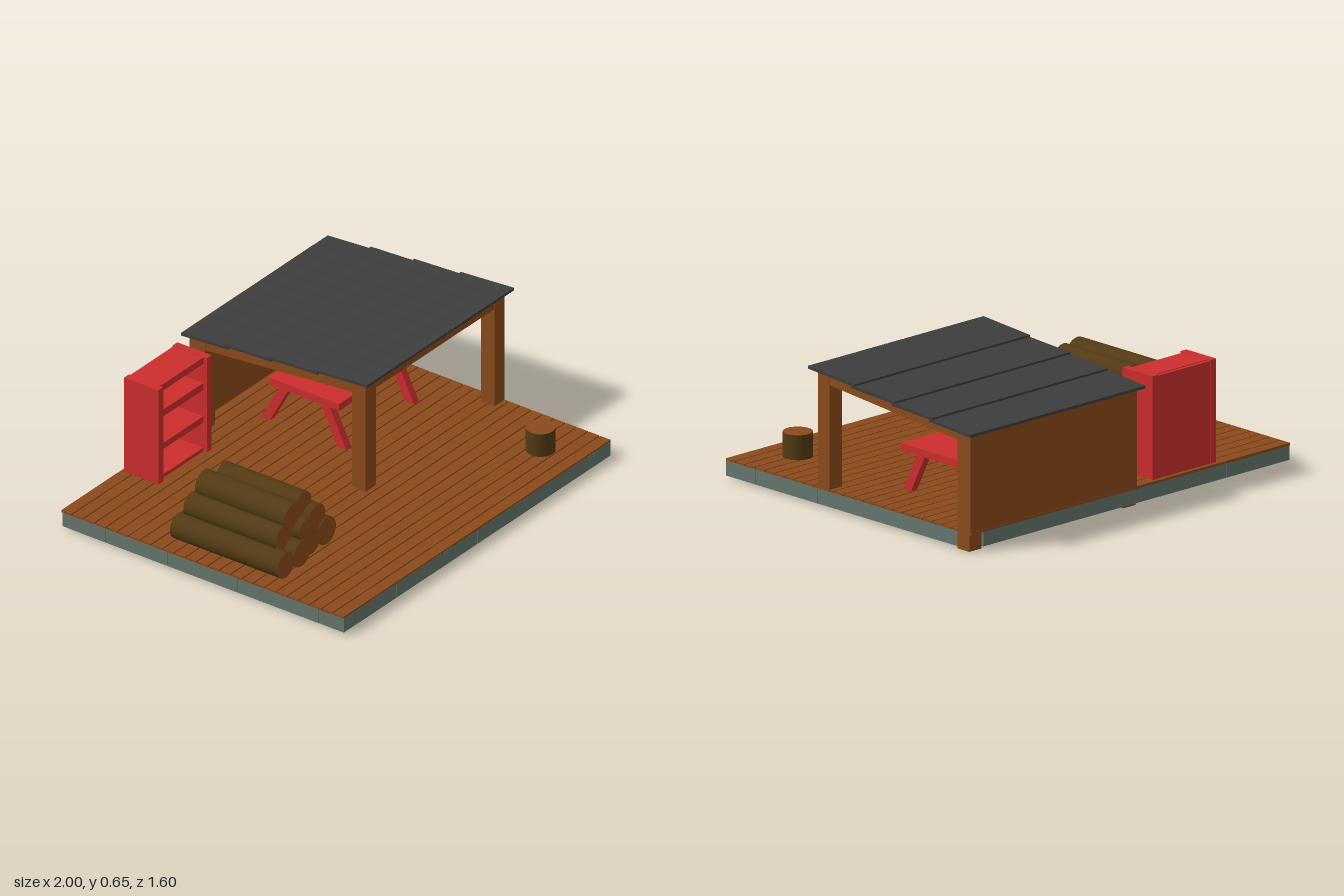
import * as THREE from 'three';

const mat = (color) => new THREE.MeshStandardMaterial({ color, flatShading: true });

export function createModel() {
  const model = new THREE.Group();
  const wood = mat(0x8b4a1c), stone = mat(0x64766c), red = mat(0xcc2e2e);
  const slate = mat(0x3d3d3d);
  const bark = new THREE.MeshStandardMaterial({ color: 0x523a14 });

  const group = (name) => {
    const g = new THREE.Group();
    g.name = name;
    model.add(g);
    return g;
  };
  // Box given by its minimum and maximum on each axis
  const box = (parent, name, material, x0, x1, y0, y1, z0, z1) => {
    const m = new THREE.Mesh(new THREE.BoxGeometry(x1 - x0, y1 - y0, z1 - z0), material);
    m.position.set((x0 + x1) / 2, (y0 + y1) / 2, (z0 + z1) / 2);
    m.name = name;
    parent.add(m);
    return m;
  };
  // Side outline of [z, y] points extruded along x from x0 to x1
  const sidePrism = (parent, name, material, points, x0, x1) => {
    const shape = new THREE.Shape(points.map(([z, y]) => new THREE.Vector2(-z, y)));
    const geo = new THREE.ExtrudeGeometry(shape, { depth: x1 - x0, bevelEnabled: false });
    geo.rotateY(Math.PI / 2);
    const m = new THREE.Mesh(geo, material);
    m.position.x = x0;
    m.name = name;
    parent.add(m);
    return m;
  };
  // Run of boxes between successive cut positions, with hairline joints
  const run = (cuts, fn) => {
    for (let i = 0; i < cuts.length - 1; i++) fn(cuts[i] + 0.001, cuts[i + 1] - 0.001);
  };

  // Stone footing ring, notched around the back right post
  const footing = group('footing');
  run([-1, -0.61, -0.02, 0.18, 0.37, 0.96], (a, b) =>
    box(footing, 'frontFooting', stone, a, b, 0.01, 0.08, 0.66, 0.798));
  run([-1, -0.61, -0.06, 0.02, 0.37, 0.88], (a, b) =>
    box(footing, 'backFooting', stone, a, b, 0.01, 0.08, -0.762, -0.66));
  run([-0.68, -0.18, 0.21, 0.41, 0.61, 0.66], (a, b) =>
    box(footing, 'leftFooting', stone, 0.88, 0.96, 0.01, 0.08, a, b));
  run([-0.66, -0.52, -0.18, 0.21, 0.52, 0.66], (a, b) =>
    box(footing, 'rightFooting', stone, -1, a > -0.53 && b < 0.53 ? -0.8 : -0.92, 0.01, 0.08, a, b));

  // Deck planks
  const deck = group('deck');
  const rows = 25, pitch = 1.57 / rows;
  for (let i = 0; i < rows; i++) {
    const z = -0.77 + i * pitch;
    run(i % 2 ? [-1, -0.22, 0.57, 0.96] : [-1, -0.6, -0.22, 0.96], (a, b) =>
      box(deck, 'deckPlank', wood, a, b, 0.078, 0.09, z + 0.003, z + pitch - 0.003));
  }

  // Shelter frame: posts, sloped side beams, cross beams, back wall
  const shelter = group('shelter');
  for (const [x0, x1] of [[-0.06, 0.015], [0.885, 0.96]]) {
    sidePrism(shelter, 'frontPost', wood, [[0.21, 0.08], [0.135, 0.08], [0.135, 0.625], [0.21, 0.632]], x0, x1);
    sidePrism(shelter, 'backPost', wood, [[-0.68, 0], [-0.755, 0], [-0.755, 0.545], [-0.68, 0.552]], x0, x1);
    sidePrism(shelter, 'sideBeam', wood,
      [[0.135, 0.573], [-0.68, 0.502], [-0.68, 0.552], [0.135, 0.625]], x0 + 0.002, x1 - 0.002);
  }
  box(shelter, 'frontBeam', wood, 0.015, 0.885, 0.585, 0.626, 0.137, 0.208);
  box(shelter, 'backBeam', wood, 0.015, 0.885, 0.505, 0.545, -0.753, -0.682);
  box(shelter, 'backWall', wood, -0.06, 0.962, 0.088, 0.543, -0.766, -0.752);

  // Roof boards: four rows, each overlapping the one behind it
  const roof = group('roof');
  const edges = [0.233, -0.062, -0.32, -0.56, -0.8];
  const boards = 11, boardWidth = 1.08 / boards;
  const roofY = (z) => 0.638 + (z - 0.233) * 0.09;
  for (let r = 0; r < 4; r++) {
    const front = edges[r] + (r ? 0.02 : 0), back = edges[r + 1];
    const yf = roofY(front) - (r ? 0.005 : 0), yb = roofY(back) + (r < 3 ? 0.005 : 0);
    const profile = [[front, yf], [back, yb], [back, yb + 0.013], [front, yf + 0.013]];
    for (let i = 0; i < boards; i++) {
      const x = -0.08 + i * boardWidth;
      sidePrism(roof, 'roofBoard', slate, profile, x + 0.001, x + boardWidth - 0.001);
    }
  }

  // Open shelf unit
  const cabinet = group('cabinet');
  for (const x of [-0.56, -0.205]) box(cabinet, 'cabinetSide', red, x, x + 0.035, 0.09, 0.57, -0.75, -0.56);
  box(cabinet, 'cabinetBack', red, -0.525, -0.205, 0.09, 0.565, -0.748, -0.73);
  for (const [y0, y1] of [[0.09, 0.107], [0.235, 0.267], [0.402, 0.437], [0.535, 0.568]])
    box(cabinet, 'cabinetShelf', red, -0.525, -0.205, y0, y1, -0.73, -0.58);

  // Table with splayed legs
  const table = group('table');
  box(table, 'tableTop', red, 0.17, 0.76, 0.285, 0.32, -0.5, -0.11);
  for (const x of [0.185, 0.682]) {
    sidePrism(table, 'frontLeg', red, [[-0.08, 0.085], [-0.13, 0.085], [-0.23, 0.287], [-0.18, 0.287]], x, x + 0.037);
    sidePrism(table, 'backLeg', red, [[-0.51, 0.085], [-0.56, 0.085], [-0.45, 0.287], [-0.4, 0.287]], x, x + 0.037);
  }

  // Log: bark side with sawn wood caps
  const log = (parent, name, r, length) => {
    const m = new THREE.Mesh(new THREE.CylinderGeometry(r, r, length, 24), [bark, wood, wood]);
    m.name = name;
    parent.add(m);
    return m;
  };

  // Stacked logs: x, y, radius, back z, front z
  const pile = group('logPile');
  for (const [x, y, r, z0, z1] of [
    [-0.878, 0.153, 0.062, -0.21, 0.385], [-0.755, 0.153, 0.062, -0.16, 0.38],
    [-0.64, 0.153, 0.062, -0.18, 0.35], [-0.53, 0.157, 0.067, -0.14, 0.35],
    [-0.815, 0.242, 0.06, -0.185, 0.325], [-0.69, 0.242, 0.06, -0.17, 0.365],
    [-0.59, 0.252, 0.062, -0.18, 0.34],
    [-0.75, 0.325, 0.066, -0.165, 0.33], [-0.64, 0.335, 0.055, -0.14, 0.305],
  ]) {
    const m = log(pile, 'log', r, z1 - z0);
    m.rotation.x = Math.PI / 2;
    m.position.set(x, y, (z0 + z1) / 2);
  }

  // Chopping stump
  log(model, 'stump', 0.067, 0.117).position.set(0.705, 0.1465, 0.602);

  return model;
}
